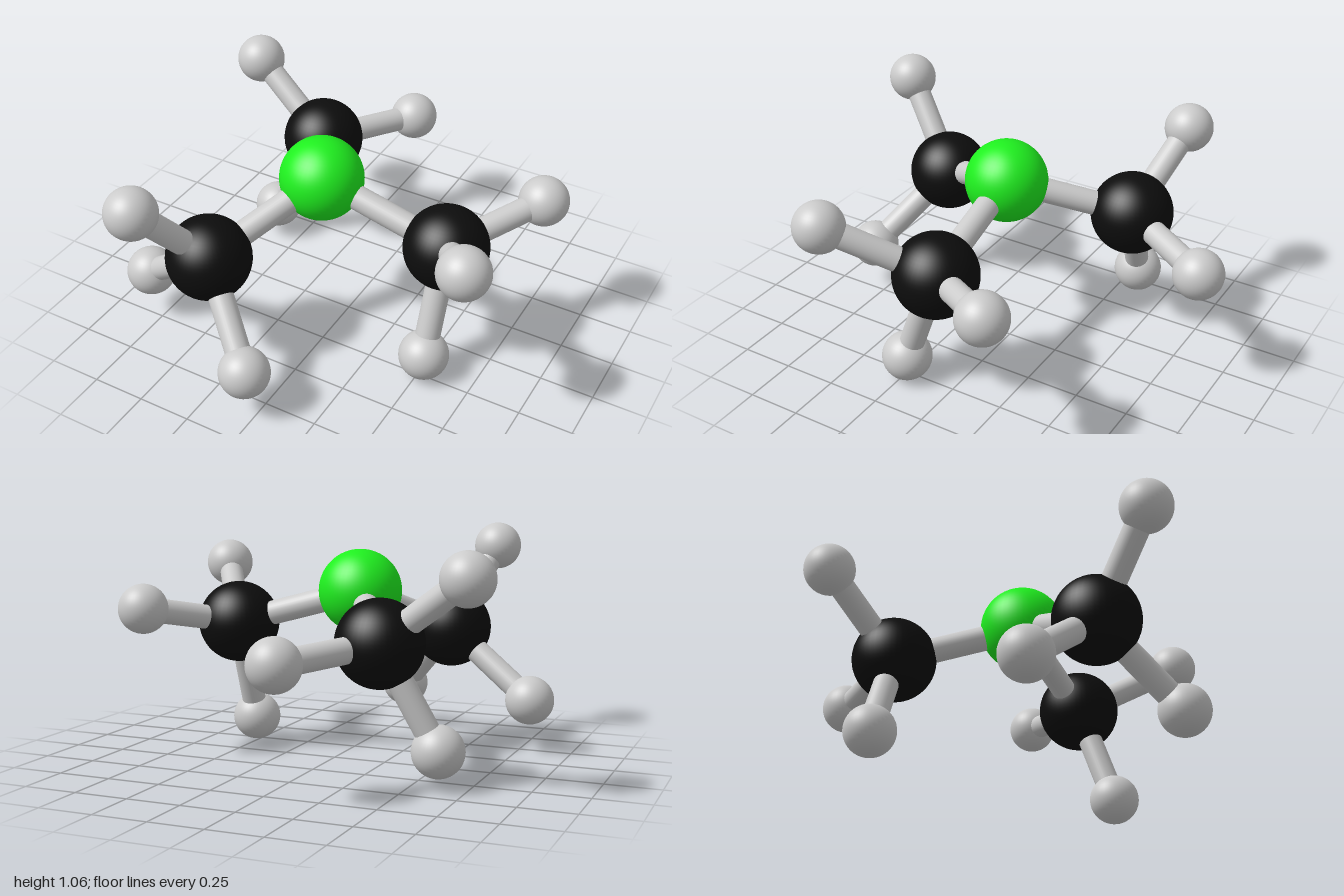
import * as THREE from 'three';

const BOND_RADIUS = 0.057;

// Arm atoms: a dark ball bonded to the centre, each carrying three small balls
const CENTRE = [-0.097, 0.779, 0.075];
const ARMS = [
  { at: [0.52, 0.61, 0.055], tips: [[0.78, 0.857, 0.46], [0.80, 0.70, -0.356], [0.518, 0.116, 0.232]] },
  { at: [-0.377, 0.566, 0.58], tips: [[-0.52, 0.949, 0.885], [-0.802, 0.248, 0.475], [-0.053, 0.228, 0.823]] },
  { at: [-0.387, 0.616, -0.43], tips: [[-0.79, 0.906, -0.515], [-0.627, 0.165, -0.369], [-0.118, 0.576, -0.886]] },
];

export function createModel() {
  const model = new THREE.Group();
  model.name = 'molecule';

  const grey = new THREE.MeshStandardMaterial({ color: 0xcccccc });
  const green = new THREE.MeshStandardMaterial({ color: 0x1ff01f });
  const black = new THREE.MeshStandardMaterial({ color: 0x0d0d0d });

  const largeBall = new THREE.SphereGeometry(0.192, 48, 32);
  const smallBall = new THREE.SphereGeometry(0.115, 40, 24);

  function addBall(parent, name, geometry, material, position) {
    const ball = new THREE.Mesh(geometry, material);
    ball.name = name;
    ball.position.set(...position);
    parent.add(ball);
  }

  // Rod running between the centres of two balls
  function addBond(parent, name, from, to) {
    const a = new THREE.Vector3(...from);
    const b = new THREE.Vector3(...to);
    const direction = b.clone().sub(a);
    const geometry = new THREE.CylinderGeometry(BOND_RADIUS, BOND_RADIUS, direction.length(), 32, 1, true);
    const bond = new THREE.Mesh(geometry, grey);
    bond.name = name;
    bond.position.copy(a).lerp(b, 0.5);
    bond.quaternion.setFromUnitVectors(new THREE.Vector3(0, 1, 0), direction.normalize());
    parent.add(bond);
  }

  addBall(model, 'centreAtom', largeBall, green, CENTRE);

  ARMS.forEach(({ at, tips }, i) => {
    const arm = new THREE.Group();
    arm.name = `arm${i + 1}`;
    addBond(arm, 'centreBond', CENTRE, at);
    addBall(arm, 'armAtom', largeBall, black, at);
    tips.forEach((tip, j) => {
      addBond(arm, `tipBond${j + 1}`, at, tip);
      addBall(arm, `tipAtom${j + 1}`, smallBall, grey, tip);
    });
    model.add(arm);
  });

  return model;
}
